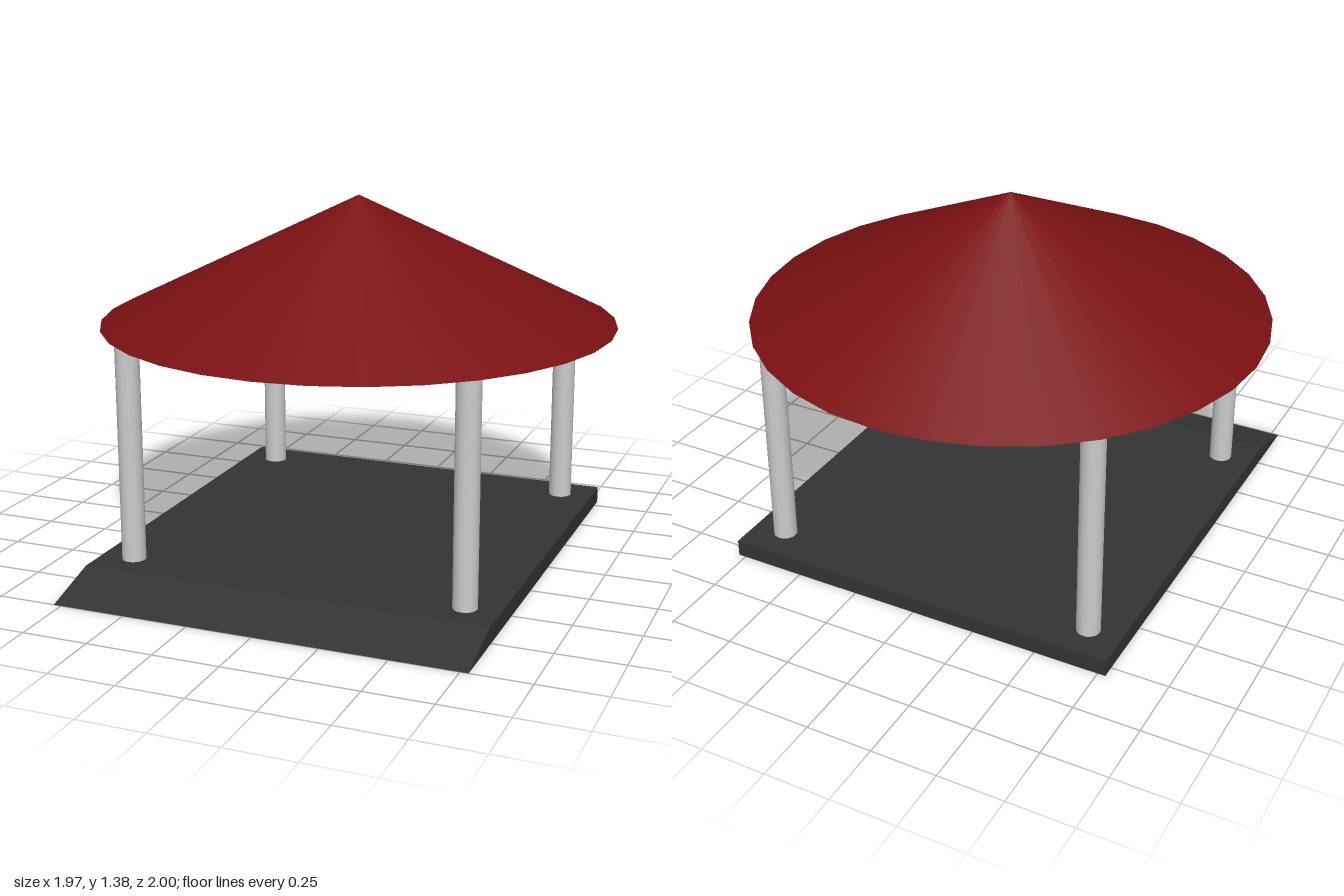
import * as THREE from 'three';

const CENTRE_Z = -0.015; // roof and posts sit slightly behind the ramp-extended base centre
const DECK_Y = 0.065;
const EAVES_Y = 0.9;

function addMesh(parent, name, geometry, color) {
  const mesh = new THREE.Mesh(geometry, new THREE.MeshStandardMaterial({ color }));
  mesh.name = name;
  parent.add(mesh);
  return mesh;
}

export function createModel() {
  const model = new THREE.Group();
  model.name = 'pavilion';

  // Base slab with a ramp at the front: side profile (z, y) extruded across x
  const halfWidth = 0.78;
  const profile = new THREE.Shape([
    new THREE.Vector2(-0.8, 0),
    new THREE.Vector2(1, 0),
    new THREE.Vector2(0.77, DECK_Y),
    new THREE.Vector2(-0.8, DECK_Y),
  ]);
  const baseGeometry = new THREE.ExtrudeGeometry(profile, { depth: 2 * halfWidth, bevelEnabled: false });
  baseGeometry.translate(0, 0, -halfWidth).rotateY(-Math.PI / 2);
  addMesh(model, 'baseWithRamp', baseGeometry, 0x343434);

  // Four corner posts
  const posts = new THREE.Group();
  posts.name = 'posts';
  model.add(posts);
  const height = EAVES_Y - DECK_Y;
  const postGeometry = new THREE.CylinderGeometry(0.045, 0.045, height, 24);
  for (const [sideName, sx] of [['Left', 1], ['Right', -1]]) {
    for (const [endName, sz] of [['front', 1], ['back', -1]]) {
      const post = addMesh(posts, `${endName}${sideName}Post`, postGeometry, 0xcccccc);
      post.position.set(sx * 0.65, DECK_Y + height / 2, CENTRE_Z + sz * 0.65);
    }
  }

  // Conical roof, closed underneath
  const roofHeight = 0.48;
  const roof = addMesh(model, 'roof', new THREE.ConeGeometry(0.985, roofHeight, 32), 0x7a1012);
  roof.position.set(0, EAVES_Y + roofHeight / 2, CENTRE_Z);

  return model;
}
